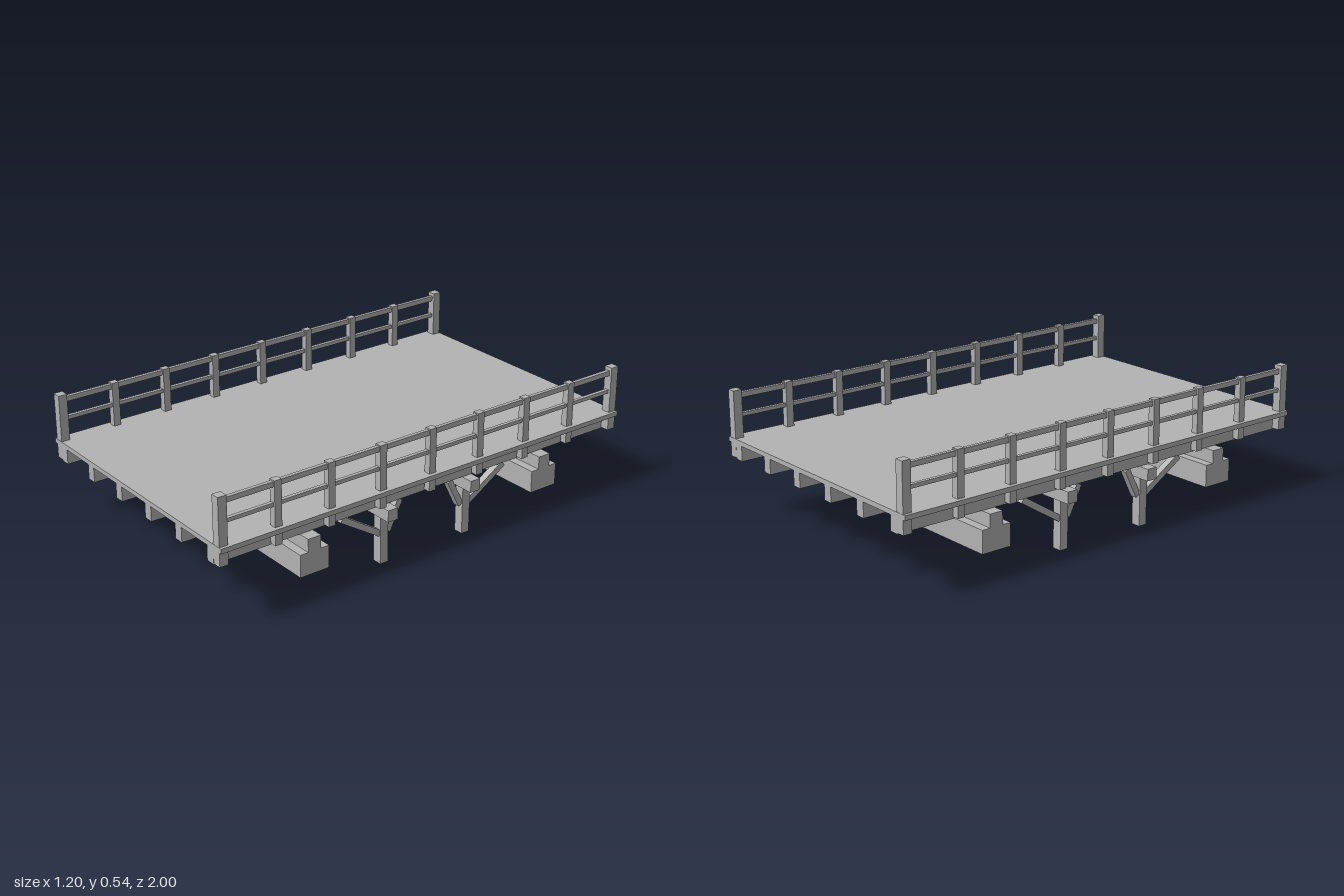
import * as THREE from 'three';

export function createModel() {
  const model = new THREE.Group();
  model.name = 'bridge';
  const grey = new THREE.MeshStandardMaterial({ color: 0xb3b3b3 });
  grey.name = 'plainGrey';

  // Box given by its centre and size
  function box(name, x, y, z, w, h, d) {
    const mesh = new THREE.Mesh(new THREE.BoxGeometry(w, h, d), grey);
    mesh.name = name;
    mesh.position.set(x, y, z);
    model.add(mesh);
    return mesh;
  }

  // Slanted timber in the y-z plane between two points
  function brace(name, x, y0, z0, y1, z1) {
    const dy = y1 - y0, dz = z1 - z0;
    const mesh = box(name, x, (y0 + y1) / 2, (z0 + z1) / 2, 0.03, 0.026, Math.hypot(dy, dz));
    mesh.rotation.x = -Math.atan2(dy, dz);
  }

  // Deck and the long stringers beneath it
  box('deck', 0, 0.33, 0, 1.2, 0.02, 2);
  for (let i = 0; i < 6; i++) {
    box('stringer', -0.531 + i * 0.2116, 0.288, 0, 0.042, 0.065, 1.998);
  }

  for (const s of [-1, 1]) {
    // Stepped abutment
    box('abutmentFooting', 0, 0.153, s * 0.585, 1.2, 0.095, 0.134);
    box('abutmentSeat', 0, 0.228, s * 0.585, 1.2, 0.055, 0.06);

    // Support bent: cap beam, legs and diagonal braces
    box('capBeam', 0, 0.23, s * 0.21, 1.2, 0.05, 0.048);
    for (const x of [-0.531, 0.105, 0.527]) {
      box('leg', x, 0.103, s * 0.21, 0.042, 0.206, 0.038);
      brace('outerBrace', x, 0.13, s * 0.225, 0.248, s * 0.412);
      brace('innerBrace', x, 0.13, s * 0.188, 0.25, s * 0.128);
    }

    // Railing along one side
    for (let i = -4; i <= 4; i++) {
      if (Math.abs(i) === 4) {
        box('endPost', s * 0.568, 0.4, Math.sign(i) * 0.98, 0.038, 0.28, 0.038);
      } else {
        box('post', s * 0.568, 0.397, i * 0.245, 0.03, 0.266, 0.032);
      }
    }
    box('topRail', s * 0.568, 0.514, 0, 0.016, 0.022, 1.94);
    box('middleRail', s * 0.568, 0.432, 0, 0.016, 0.016, 1.94);
  }

  return model;
}
